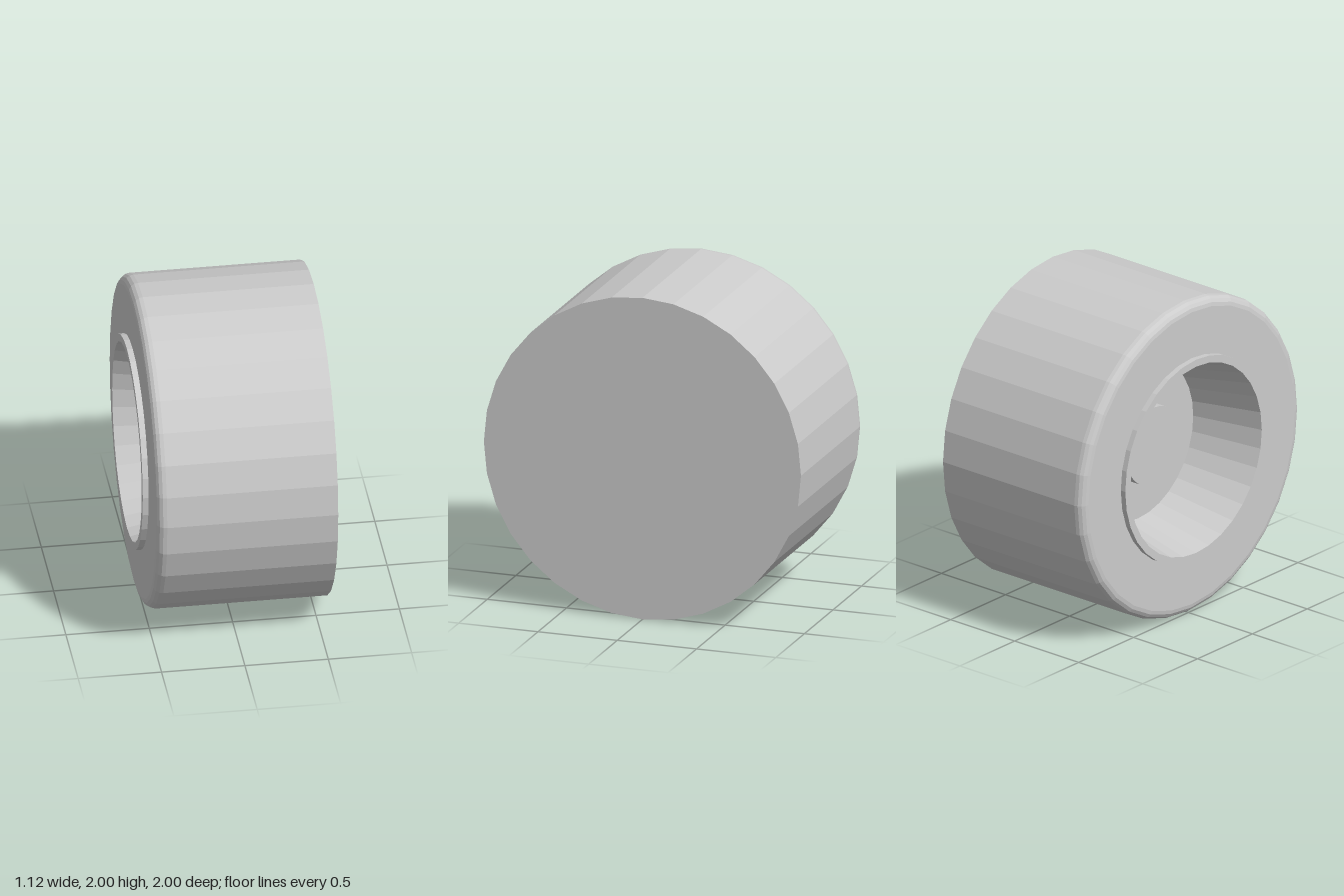
import * as THREE from 'three';

const SIDES = 32;

// Surface of revolution about the x axis; points are [radius, x], outer side running towards +x
function turned(name, points, material) {
  const geometry = new THREE.LatheGeometry(points.map(([r, x]) => new THREE.Vector2(r, x)), SIDES);
  geometry.rotateZ(-Math.PI / 2);
  const mesh = new THREE.Mesh(geometry, material);
  mesh.name = name;
  mesh.position.y = 1;
  return mesh;
}

export function createModel() {
  const group = new THREE.Group();
  group.name = 'wheel';
  const material = new THREE.MeshStandardMaterial({ color: 0xcccccc, flatShading: true });

  // Tyre: side wall, rounded shoulder, tread and flat inner face
  const fillet = 0.06;
  const steps = 4;
  const shoulder = [];
  for (let i = 0; i <= steps; i++) {
    const a = (i / steps) * Math.PI / 2;
    shoulder.push([1 - fillet + fillet * Math.sin(a), -0.525 + fillet * (1 - Math.cos(a))]);
  }
  group.add(turned('tyre', [[0.645, -0.525], ...shoulder, [1, 0.56], [0, 0.56]], material));

  // Rim: dish floor, tapered wall and raised lip
  group.add(turned('rim', [[0.245, -0.11], [0.5, -0.11], [0.6, -0.56], [0.645, -0.56], [0.645, -0.525]], material));

  // Hub: short disc on the dish floor
  group.add(turned('hub', [[0, -0.23], [0.245, -0.23], [0.245, -0.11]], material));

  return group;
}
